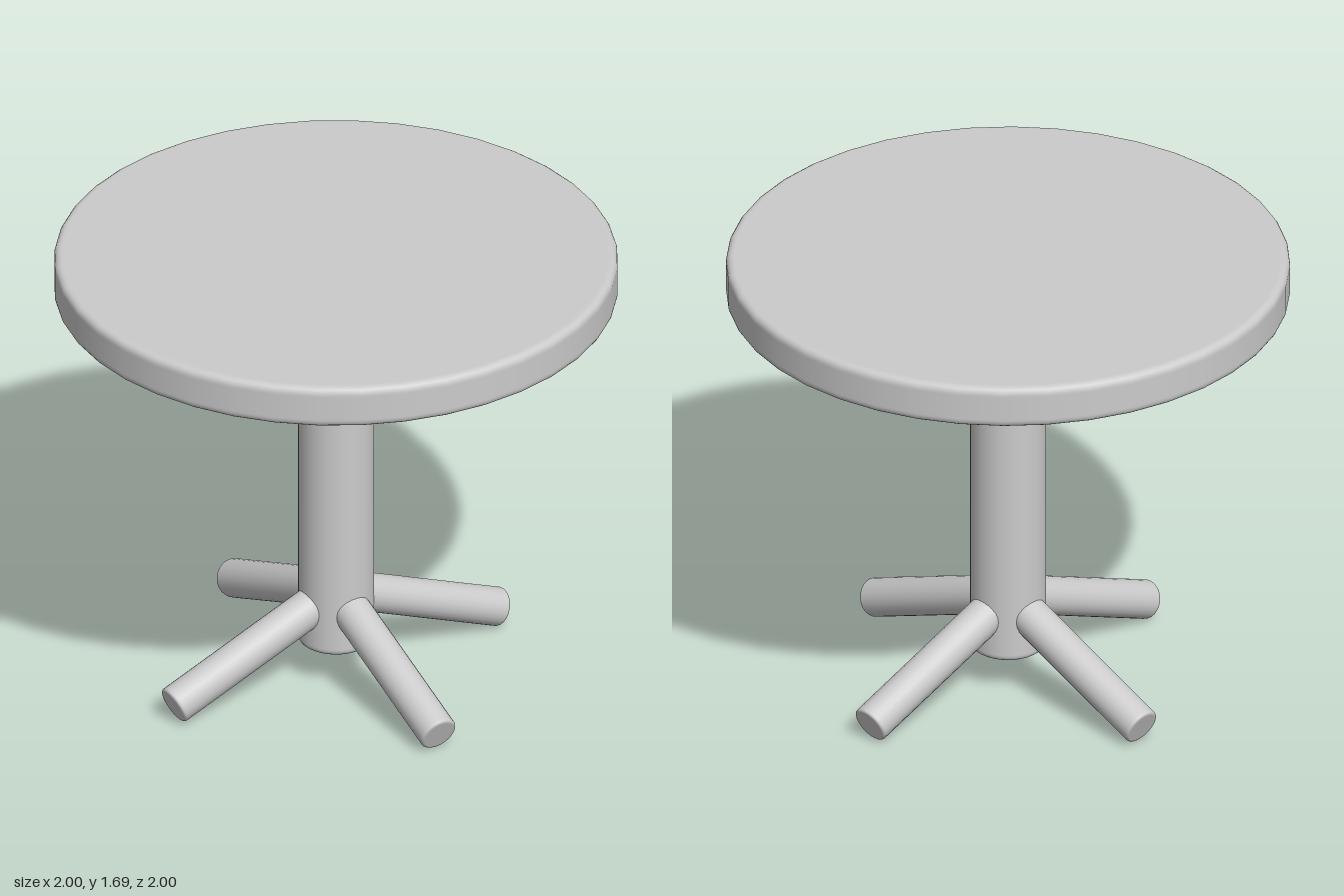
import * as THREE from 'three';

const material = new THREE.MeshStandardMaterial({ color: 0xcccccc });

// Solid round bar along y, from y0 to y1, with rounded rims
function roundedBar(name, radius, y0, y1, bevel, sides) {
  const points = [new THREE.Vector2(0, y0), new THREE.Vector2(radius - bevel * 1.3, y0)];
  const steps = 4;
  for (let i = 0; i <= steps; i++) {
    const a = (i / steps) * Math.PI / 2;
    points.push(new THREE.Vector2(radius - bevel + bevel * Math.sin(a), y0 + bevel - bevel * Math.cos(a)));
  }
  // extra rings next to the rims keep the wall shading straight
  points.push(new THREE.Vector2(radius, y0 + bevel * 1.3), new THREE.Vector2(radius, y1 - bevel * 1.3));
  for (let i = 0; i <= steps; i++) {
    const a = (i / steps) * Math.PI / 2;
    points.push(new THREE.Vector2(radius - bevel + bevel * Math.cos(a), y1 - bevel + bevel * Math.sin(a)));
  }
  points.push(new THREE.Vector2(radius - bevel * 1.3, y1), new THREE.Vector2(0, y1));
  const mesh = new THREE.Mesh(new THREE.LatheGeometry(points, sides), material);
  mesh.name = name;
  return mesh;
}

export function createModel() {
  const table = new THREE.Group();
  table.name = 'roundTable';

  table.add(roundedBar('tableTop', 1, 1.54, 1.695, 0.025, 40));
  table.add(roundedBar('column', 0.135, 0.14, 1.56, 0.02, 32));

  // Four straight feet sloping down from the column
  const start = new THREE.Vector3(0.06, 0.318, 0);
  const end = new THREE.Vector3(0.683, 0.067, 0);
  const direction = end.clone().sub(start);
  const names = ['leftLeg', 'backLeg', 'rightLeg', 'frontLeg'];
  names.forEach((name, i) => {
    const leg = new THREE.Group();
    leg.name = name;
    const bar = roundedBar(name + 'Bar', 0.07, 0, direction.length(), 0.01, 24);
    bar.position.copy(start);
    bar.quaternion.setFromUnitVectors(new THREE.Vector3(0, 1, 0), direction.clone().normalize());
    leg.add(bar);
    leg.rotation.y = i * Math.PI / 2;
    table.add(leg);
  });

  return table;
}
